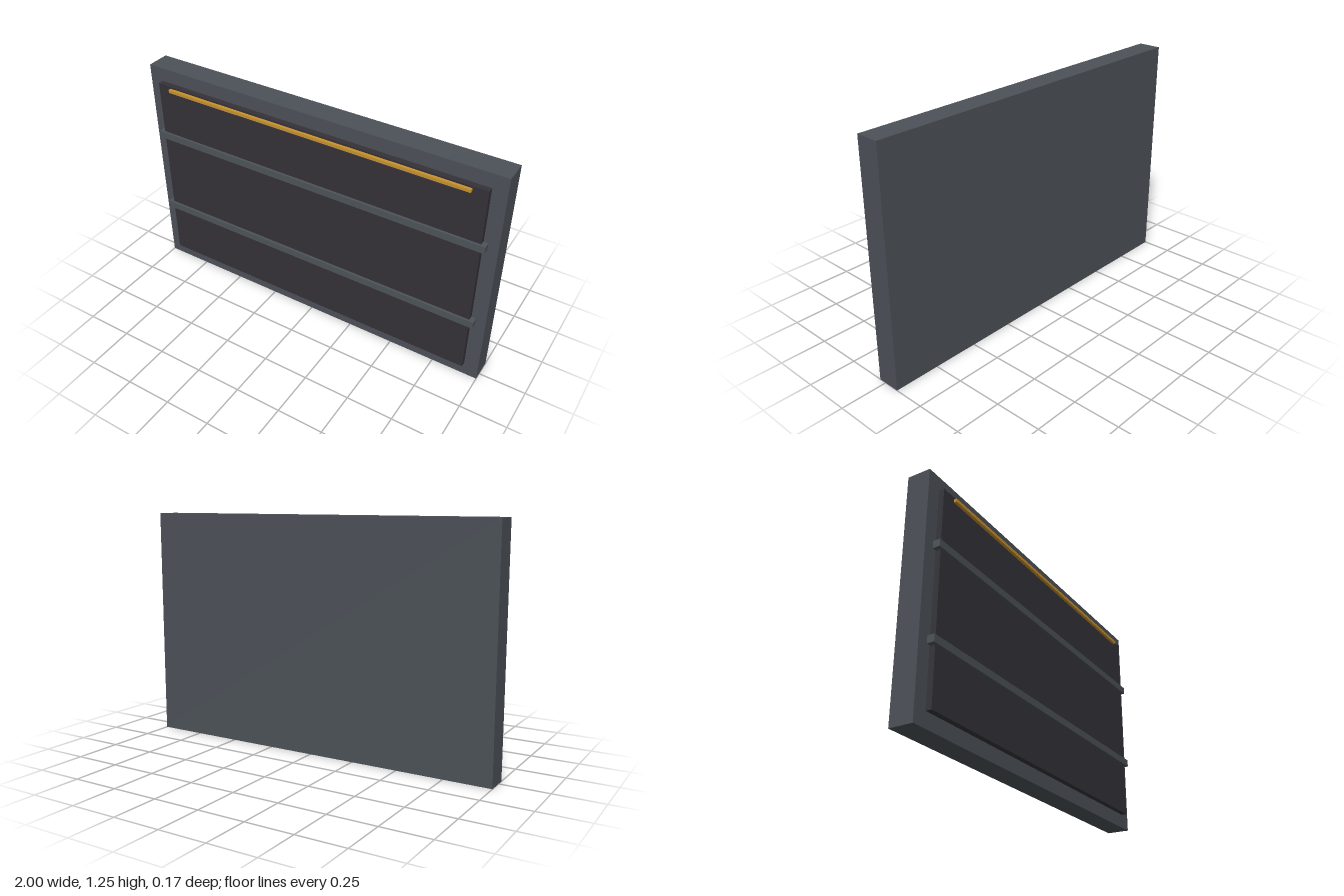
import * as THREE from 'three';

const material = (name, color) => {
  const m = new THREE.MeshStandardMaterial({ color });
  m.name = name;
  return m;
};

export function createModel() {
  const group = new THREE.Group();
  group.name = 'wallPanel';
  const frameGrey = material('frame grey', 0x4c5158);
  const ribGrey = material('rib grey', 0x4c5358);
  const charcoal = material('charcoal', 0x343238);
  const amber = material('amber', 0xc8922e);

  // Box centred on x, given by its width and its y and z ranges
  const box = (name, mat, width, y0, y1, z0, z1) => {
    const mesh = new THREE.Mesh(new THREE.BoxGeometry(width, y1 - y0, z1 - z0), mat);
    mesh.position.set(0, (y0 + y1) / 2, (z0 + z1) / 2);
    mesh.name = name;
    group.add(mesh);
  };

  // Thick backing slab and raised inset panel
  box('slab', frameGrey, 2, 0, 1.25, -0.085, 0.04);
  box('facePanel', charcoal, 1.85, 0.077, 1.175, 0.03, 0.07);

  // Horizontal ribs, slightly wider than the panel
  for (const y of [0.39, 0.863]) box('rib', ribGrey, 1.9, y - 0.019, y + 0.019, 0.045, 0.083);

  // Accent strip near the top edge
  box('accentStrip', amber, 1.696, 1.147, 1.164, 0.065, 0.086);

  return group;
}
